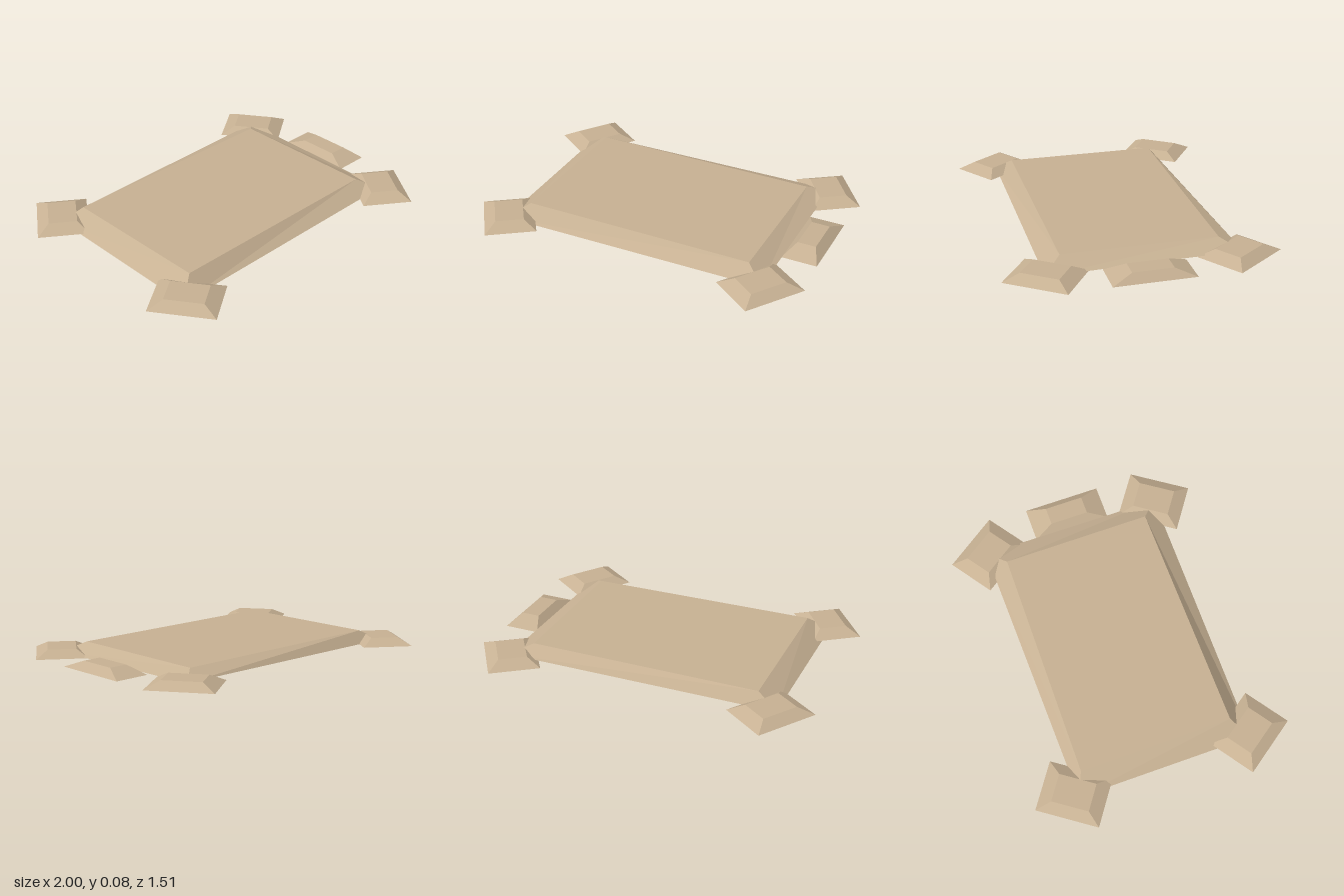
import * as THREE from 'three';

// Flat-sided block from a lower and an upper ring of four corners,
// both running front-right, front-left, back-left, back-right.
function block(bottom, top) {
  const positions = [];
  const quad = (a, b, c, d) => positions.push(...a, ...b, ...c, ...a, ...c, ...d);
  quad(...top);
  quad(...[...bottom].reverse());
  for (let i = 0; i < 4; i++) {
    const j = (i + 1) % 4;
    quad(bottom[i], bottom[j], top[j], top[i]);
  }
  const geometry = new THREE.BufferGeometry();
  geometry.setAttribute('position', new THREE.Float32BufferAttribute(positions, 3));
  geometry.computeVertexNormals();
  return geometry;
}

// Rectangle of corners at height y
const ring = (x, z, y) => [[-x, y, z], [x, y, z], [x, y, -z], [-x, y, -z]];

export function createModel() {
  const model = new THREE.Group();
  const tan = new THREE.MeshStandardMaterial({ color: 0xc7b193, flatShading: true });
  tan.name = 'tan';

  const add = (name, geometry) => {
    const mesh = new THREE.Mesh(geometry, tan);
    mesh.name = name;
    model.add(mesh);
    return mesh;
  };

  // Broad, slightly tilted body slab with sloping sides
  add('body', block(
    [[-0.8, 0, 0.525], [0.78, 0.017, 0.53], [0.78, 0.03, -0.545], [-0.8, 0.013, -0.505]],
    [[-0.68, 0.083, 0.44], [0.67, 0.077, 0.43], [0.67, 0.074, -0.445], [-0.68, 0.08, -0.45]],
  ));

  // Four feet turned outwards at the corners
  const footGeometry = block(ring(0.183, 0.144, 0.016), ring(0.108, 0.08, 0.056));
  for (const sx of [-1, 1]) {
    for (const sz of [-1, 1]) {
      const name = (sz > 0 ? 'front' : 'back') + (sx > 0 ? 'Left' : 'Right') + 'Foot';
      const foot = add(name, footGeometry);
      foot.position.set(sx * 0.775, 0, sz * 0.525);
      foot.rotation.y = sx * sz * 0.96;
    }
  }

  // Head block on the left side
  const head = add('head', block(ring(0.102, 0.227, 0.016), ring(0.053, 0.113, 0.06)));
  head.position.set(0.876, 0, -0.002);

  return model;
}
